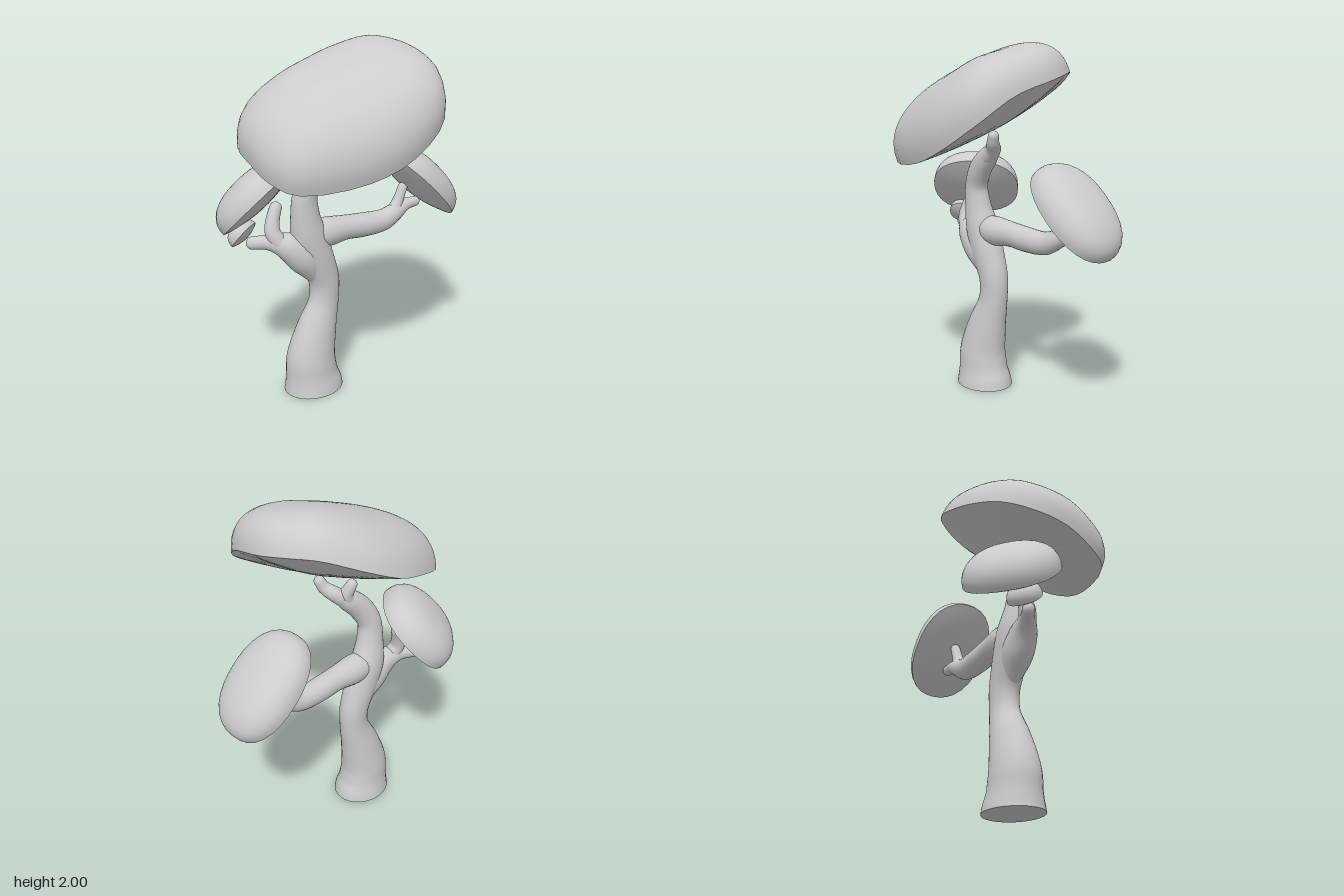
import * as THREE from 'three';

const V = (x, y, z) => new THREE.Vector3(x, y, z);
const material = new THREE.MeshStandardMaterial({ color: 0xcccccc, roughness: 0.8 });

// Skin a list of closed rings (equal point counts) into one smooth surface
function loft(name, rows) {
  const n = rows[0].length, index = [];
  for (let i = 0; i < rows.length - 1; i++) {
    for (let j = 0; j < n; j++) {
      const k = (j + 1) % n, a = i * n, b = a + n;
      index.push(a + j, a + k, b + j, a + k, b + k, b + j);
    }
  }
  const geometry = new THREE.BufferGeometry().setFromPoints(rows.flat());
  geometry.setIndex(index);
  geometry.computeVertexNormals();
  const mesh = new THREE.Mesh(geometry, material);
  mesh.name = name;
  return mesh;
}

// Tapered limb through [x, y, z, radius] stations, squared-off start and rounded tip
function limb(name, stations, depth = 1, sides = 20) {
  const path = new THREE.CatmullRomCurve3(stations.map(s => V(s[0], s[1], s[2])));
  const radii = new THREE.SplineCurve(stations.map((s, i) => new THREE.Vector2(i, s[3])));
  const steps = (stations.length - 1) * 5, rows = [];
  const ring = (p, t, r) => {
    const a = t.clone().cross(V(0, 0, 1)).normalize();
    const b = t.clone().cross(a);
    return Array.from({ length: sides }, (_, j) => {
      const w = j / sides * Math.PI * 2;
      const o = a.clone().multiplyScalar(Math.cos(w) * r).addScaledVector(b, Math.sin(w) * r);
      o.z *= depth;
      return o.add(p);
    });
  };
  for (let i = 0; i <= steps; i++) {
    const u = i / steps;
    const t = i ? path.getTangent(u) : path.getTangent(0).round().normalize();
    const r = radii.getPoint(u).y, p = path.getPoint(u);
    if (i === 0) rows.push(ring(p, t, 0), ring(p, t, r));
    rows.push(ring(p, t, r));
  }
  const end = path.getPoint(1), t = path.getTangent(1), r = stations.at(-1)[3];
  for (let k = 1; k <= 5; k++) {
    const w = k / 5 * Math.PI / 2;
    rows.push(ring(end.clone().addScaledVector(t, r * Math.sin(w)), t, r * Math.cos(w)));
  }
  return loft(name, rows);
}

// Crown: rim ring, a dome rising along `axis`, an underside bulging by a share of it.
// The rim's uneven part fades with the square of s, which keeps the middle smooth.
function crown(name, center, rim, axis, bulge, power = 2.4) {
  const half = rim.length / 2, domeRows = 24;
  const at = (s, h) => rim.map((p, j) => {
    const q = rim[(j + half) % rim.length];
    const odd = p.clone().sub(q).multiplyScalar(0.5);
    const even = p.clone().add(q).multiplyScalar(0.5).sub(center);
    return center.clone().addScaledVector(odd, s).addScaledVector(even, s * s).addScaledVector(axis, h);
  });
  const rows = [];
  for (let i = 0; i <= 8; i++) rows.push(at(i / 8, -bulge * (1 - (i / 8) ** 2)));
  for (let i = 0; i <= domeRows; i++) {
    const w = i / domeRows * Math.PI / 2;
    const s = i === domeRows ? 0 : Math.cos(w) ** (2 / power);
    rows.push(at(s, Math.sin(w) ** (2 / power)));
  }
  return loft(name, rows);
}

// Oval crown facing along a normal; `along` is the long direction of its rim
function ovalCrown(name, center, normal, along, ra, rb, height, bulge) {
  const n = normal.clone().normalize();
  const a = along.clone().addScaledVector(n, -along.dot(n)).normalize();
  const b = n.clone().cross(a);
  const rim = Array.from({ length: 32 }, (_, j) => {
    const w = j / 32 * Math.PI * 2, c = Math.cos(w), s = Math.sin(w);
    const k = (Math.abs(c) ** 2.3 + Math.abs(s) ** 2.3) ** (-1 / 2.3);
    return center.clone().addScaledVector(a, ra * k * c).addScaledVector(b, rb * k * s);
  });
  return crown(name, center, rim, n.multiplyScalar(height), bulge);
}

export function createModel() {
  const tree = new THREE.Group();
  tree.name = 'tree';

  // Swaying trunk with a broad foot
  tree.add(limb('trunk', [
    [-0.226, 0, -0.09, 0.177], [-0.237, 0.1, -0.09, 0.155], [-0.24, 0.2, -0.09, 0.146],
    [-0.20, 0.37, -0.09, 0.12], [-0.15, 0.53, -0.09, 0.09], [-0.145, 0.66, -0.09, 0.09],
    [-0.19, 0.8, -0.09, 0.1], [-0.24, 0.95, -0.09, 0.102], [-0.265, 1.08, -0.08, 0.082],
    [-0.265, 1.2, -0.07, 0.07], [-0.21, 1.3, -0.05, 0.068], [-0.13, 1.375, -0.035, 0.06],
    [-0.08, 1.41, -0.025, 0.045],
  ], 0.86, 28));

  // Forked tip of the trunk
  tree.add(limb('frontFork', [
    [-0.13, 1.37, -0.03, 0.048], [-0.06, 1.425, -0.01, 0.042],
    [-0.02, 1.465, 0.03, 0.035], [0, 1.505, 0.045, 0.03],
  ]));
  tree.add(limb('backFork', [
    [-0.14, 1.36, -0.035, 0.048], [-0.11, 1.42, -0.045, 0.04],
    [-0.115, 1.455, -0.06, 0.034], [-0.125, 1.485, -0.07, 0.03],
  ]));

  // Long branch on the left with its twig
  tree.add(limb('leftBranch', [
    [-0.28, 0.96, -0.09, 0.04], [-0.2, 0.95, -0.09, 0.075], [-0.12, 0.945, -0.09, 0.084],
    [0, 0.945, -0.09, 0.071], [0.12, 0.935, -0.09, 0.07], [0.26, 0.935, -0.09, 0.064],
    [0.35, 0.97, -0.09, 0.052], [0.42, 1.0, -0.09, 0.037], [0.49, 1.005, -0.09, 0.03],
  ], 0.95));
  tree.add(limb('leftTwig', [
    [0.33, 0.96, -0.09, 0.045], [0.365, 1.03, -0.09, 0.032], [0.4, 1.11, -0.09, 0.028],
  ]));

  // Short branch on the right with its twig
  tree.add(limb('rightBranch', [
    [-0.17, 0.68, -0.09, 0.06], [-0.265, 0.82, -0.09, 0.095], [-0.36, 0.905, -0.105, 0.08],
    [-0.45, 0.935, -0.145, 0.045], [-0.53, 0.935, -0.19, 0.037],
  ], 0.85));
  tree.add(limb('rightTwig', [
    [-0.39, 0.91, -0.11, 0.05], [-0.435, 0.99, -0.135, 0.044],
    [-0.425, 1.06, -0.15, 0.038], [-0.4, 1.12, -0.16, 0.034],
  ]));

  // Large tilted top crown
  const rim = new THREE.CatmullRomCurve3([
    V(-0.62, 1.44, 0), V(-0.6, 1.38, 0.15), V(-0.52, 1.34, 0.3), V(-0.2, 1.37, 0.42),
    V(0.05, 1.46, 0.455), V(0.28, 1.61, 0.4), V(0.38, 1.74, 0.25), V(0.41, 1.81, 0.02),
    V(0.36, 1.84, -0.14), V(0.27, 1.84, -0.26), V(0.08, 1.76, -0.38), V(-0.12, 1.67, -0.425),
    V(-0.31, 1.61, -0.4), V(-0.5, 1.54, -0.32), V(-0.6, 1.48, -0.17),
  ], true).getPoints(44).slice(0, -1);
  tree.add(crown('topCrown', V(-0.1, 1.58, 0.02), rim, V(-0.055, 0.3, 0.09), 0.22));

  // Side crowns
  tree.add(ovalCrown('leftCrown', V(0.475, 1.125, -0.08), V(0.7, 0.7, 0), V(1, -1, 0),
    0.305, 0.22, 0.155, 0.32));
  tree.add(ovalCrown('rightCrown', V(-0.455, 1.145, -0.235), V(-0.47, 0.7, -0.53), V(1, 0, -1),
    0.255, 0.255, 0.165, 0.25));
  tree.add(ovalCrown('smallCrown', V(-0.56, 0.975, -0.23), V(-0.45, 0.6, -0.6), V(1, 0, -1),
    0.09, 0.085, 0.075, 0.3));

  return tree;
}
